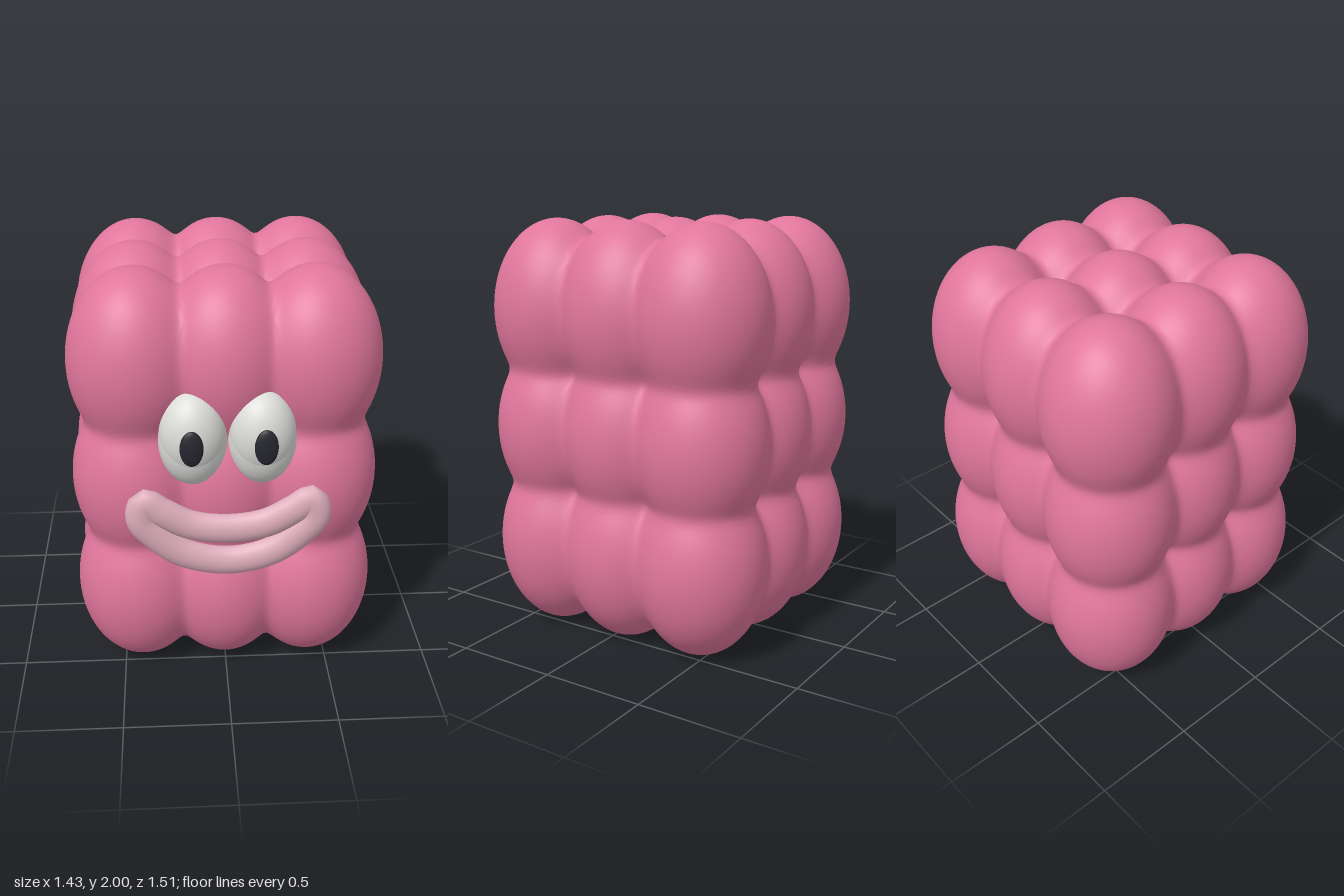
import * as THREE from 'three';
import { mergeVertices } from 'three/addons/utils/BufferGeometryUtils.js';

const paint = (name, color) => {
  const m = new THREE.MeshStandardMaterial({ color });
  m.name = name;
  return m;
};

const CENTRE = new THREE.Vector3(0, 1, -0.04);
const STEP = [0.406, 0.57, 0.406]; // spacing of the 3 x 3 x 3 lobes
const RADIUS = [0.31, 0.43, 0.31]; // radii of each lobe
const BLEND = 20; // higher is a sharper crease

// Softly blended union of the lobes: above 1 inside, below 1 outside
function lobeField(x, y, z) {
  let sum = 0;
  for (let i = -1; i <= 1; i++)
    for (let j = -1; j <= 1; j++)
      for (let k = -1; k <= 1; k++) {
        const q = Math.hypot((x - i * STEP[0]) / RADIUS[0],
          (y - j * STEP[1]) / RADIUS[1], (z - k * STEP[2]) / RADIUS[2]);
        sum += Math.exp(-BLEND * (q - 1));
      }
  return sum;
}

// Box whose vertices are drawn inward until they meet the lobes
function bodyGeometry() {
  let geo = new THREE.BoxGeometry(1.46, 2.04, 1.46, 72, 84, 72);
  geo.deleteAttribute('uv');
  geo.deleteAttribute('normal');
  geo = mergeVertices(geo, 1e-5);
  const pos = geo.attributes.position;
  const v = new THREE.Vector3();
  for (let n = 0; n < pos.count; n++) {
    v.fromBufferAttribute(pos, n);
    const inside = (t) => lobeField(v.x * t, v.y * t, v.z * t) > 1;
    let low = 1;
    while (low > 0.3 && !inside(low)) low -= 0.02;
    let high = low + 0.02;
    for (let s = 0; s < 10; s++) {
      const mid = (low + high) / 2;
      if (inside(mid)) low = mid; else high = mid;
    }
    v.multiplyScalar(low);
    pos.setXYZ(n, v.x, v.y, v.z);
  }
  geo.computeVertexNormals();
  return geo;
}

export function createModel() {
  const model = new THREE.Group();
  model.name = 'lumpyCreature';
  const pink = paint('body pink', 0xe0769b);
  const lipPink = paint('lip pink', 0xe0afbd);
  const white = paint('eye white', 0xdcdcd9);
  const dark = paint('pupil dark', 0x262630);

  const add = (name, geo, mat, parent = model) => {
    const mesh = new THREE.Mesh(geo, mat);
    mesh.name = name;
    parent.add(mesh);
    return mesh;
  };

  // Body
  add('body', bodyGeometry(), pink).position.copy(CENTRE);

  // Eyes: eyeball, lower lid bulge and pupil
  const ball = new THREE.SphereGeometry(1, 40, 28);
  const ellipsoid = (name, mat, parent, p, r) => {
    const mesh = add(name, ball, mat, parent);
    mesh.position.set(...p);
    mesh.scale.set(...r);
  };
  for (const side of [-1, 1]) {
    const eye = new THREE.Group();
    eye.name = side > 0 ? 'leftEye' : 'rightEye';
    ellipsoid('eyeball', white, eye, [side * 0.155, 1.31, 0.605], [0.15, 0.2, 0.135]);
    ellipsoid('lowerLid', white, eye, [side * 0.155, 1.275, 0.6], [0.154, 0.213, 0.125]);
    ellipsoid('pupil', dark, eye, [side * 0.163, 1.295, 0.735], [0.052, 0.084, 0.022]);
    model.add(eye);
  }

  // Lips: one closed tube, mirrored about the middle and flattened in depth
  const half = [
    [0, 0.868, 0.69], [0.17, 0.892, 0.69], [0.3, 0.965, 0.698], [0.375, 1.012, 0.7],
    [0.392, 0.93, 0.7], [0.33, 0.845, 0.695], [0.2, 0.74, 0.685], [0, 0.69, 0.675],
  ];
  const loop = [...half, ...half.slice(1, -1).reverse().map(([x, y, z]) => [-x, y, z])];
  const flat = 0.7;
  const path = new THREE.CatmullRomCurve3(
    loop.map(([x, y, z]) => new THREE.Vector3(x, y, (z - 0.69) / flat)), true, 'centripetal');
  const lips = add('lips', new THREE.TubeGeometry(path, 120, 0.07, 20, true), lipPink);
  lips.scale.z = flat;
  lips.position.z = 0.69;

  return model;
}
